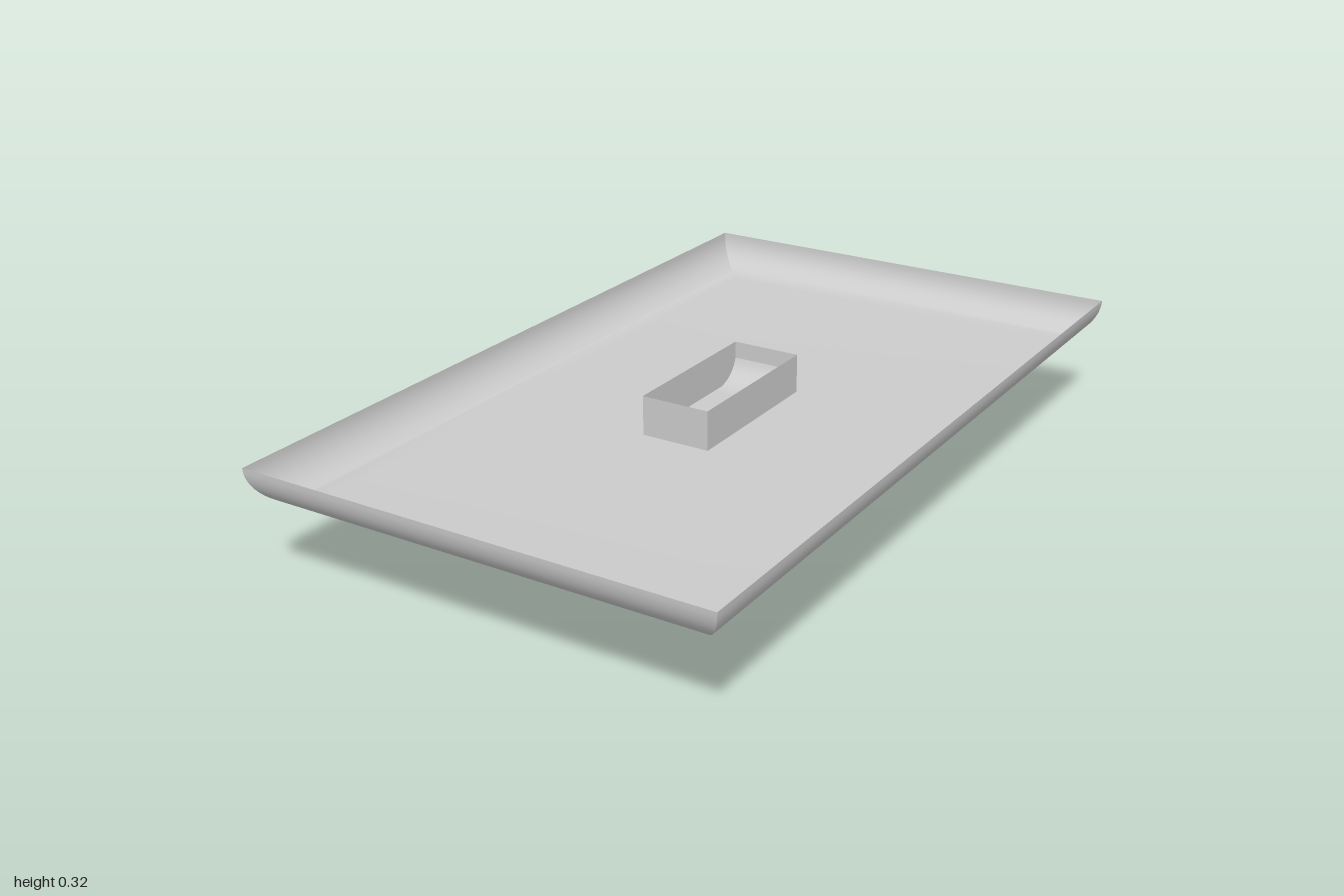
import * as THREE from 'three';
import { toCreasedNormals } from 'three/addons/utils/BufferGeometryUtils.js';

const PLATE_Y = 0.22; // level of the flat face of the plate
const RIM_Y = 0.32;

const material = new THREE.MeshStandardMaterial({ color: 0xcccccc, side: THREE.DoubleSide });

function add(group, name, geometry) {
  const mesh = new THREE.Mesh(toCreasedNormals(geometry, 0.5), material);
  mesh.name = name;
  group.add(mesh);
  return mesh;
}

// Sheet through rectangular rings [halfX, halfZ, y], optionally closed at the first ring
function rectLoft(rings, closed) {
  const points = [], index = [];
  rings.forEach(([x, z, y], r) => {
    points.push(x, y, z, x, y, -z, -x, y, -z, -x, y, z);
    if (r === 0) return;
    for (let i = 0; i < 4; i++) {
      const a = (r - 1) * 4 + i, b = (r - 1) * 4 + (i + 1) % 4;
      index.push(a, b, b + 4, a, b + 4, a + 4);
    }
  });
  if (closed) index.push(0, 2, 1, 0, 3, 2);
  const geometry = new THREE.BufferGeometry();
  geometry.setAttribute('position', new THREE.Float32BufferAttribute(points, 3));
  geometry.setIndex(index);
  return geometry;
}

// Profile drawn in (z, y), extruded across x and centred
function extrudeAcross(shape, width) {
  const geometry = new THREE.ExtrudeGeometry(shape, { depth: width, bevelEnabled: false, curveSegments: 12 });
  geometry.translate(0, 0, -width / 2);
  geometry.rotateY(-Math.PI / 2);
  return geometry;
}

export function createModel() {
  const model = new THREE.Group();
  model.name = 'switchPlate';

  // Thin plate with quarter-round sides and mitred corners
  const rings = [];
  const steps = 14;
  for (let i = 0; i <= steps; i++) {
    const t = (i / steps) * Math.PI / 2;
    const out = 0.1 * Math.sin(t);
    rings.push([0.5 + out, 0.9 + out, RIM_Y - 0.1 * Math.cos(t)]);
  }
  add(model, 'plate', rectLoft(rings, true));

  // Open housing behind the plate
  add(model, 'housing', rectLoft([[0.09, 0.213, PLATE_Y], [0.09, 0.213, RIM_Y]], false));

  // Curved rocker rising at one end of the housing
  const cove = new THREE.Shape();
  cove.moveTo(-0.11, PLATE_Y + 0.001);
  cove.quadraticCurveTo(-0.185, PLATE_Y + 0.003, -0.205, 0.28);
  cove.lineTo(-0.205, PLATE_Y + 0.001);
  add(model, 'rocker', extrudeAcross(cove, 0.17));

  // Tilted lever with a rounded tip
  const lever = new THREE.Shape();
  lever.moveTo(0.05, PLATE_Y - 0.0005);
  lever.lineTo(0.203, PLATE_Y - 0.0005);
  lever.lineTo(0.25, 0.042);
  lever.quadraticCurveTo(0.212, -0.006, 0.155, 0.006);
  add(model, 'lever', extrudeAcross(lever, 0.164));

  // Slotted screw heads, each made of two circle segments
  const radius = 0.046;
  const angle = Math.acos(0.007 / radius);
  for (const z of [0.556, -0.572]) {
    const screw = new THREE.Group();
    screw.name = 'screw';
    screw.position.set(0, PLATE_Y, z);
    for (const turn of [0, Math.PI]) {
      const segment = new THREE.Shape();
      segment.absarc(0, 0, radius, -angle, angle);
      const half = new THREE.ExtrudeGeometry(segment, { depth: 0.005, bevelEnabled: false, curveSegments: 10 });
      half.rotateX(Math.PI / 2);
      half.rotateY(turn);
      add(screw, 'screwHalf', half);
    }
    model.add(screw);
  }

  return model;
}
